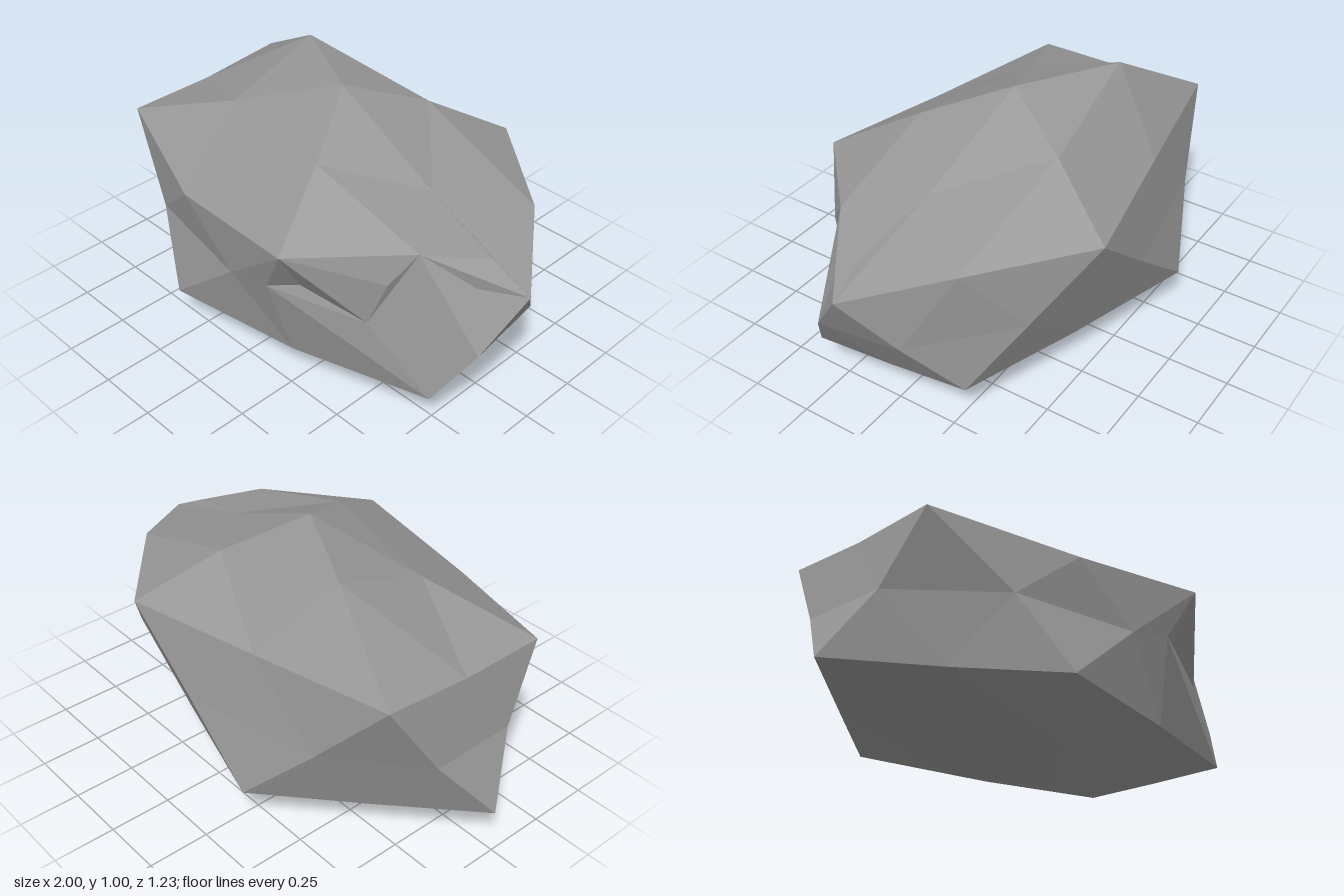
import * as THREE from 'three';

// Cross-sections of the boulder, each running from the front round by +x to the back.
const top = [0, 1, -0.02];
const bottom = [0.13, 0, 0.02];
const crown = [[0.18, 0.87, 0.29], [0.5, 0.78, 0.02], [0.17, 0.88, -0.32], [-0.41, 0.98, -0.24], [-0.41, 0.84, 0.17]];
// shoulder and foot alternate corner, edge middle
const shoulder = [
  [0.33, 0.7, 0.615], [0.68, 0.73, 0.28], [1, 0.6, 0.06], [0.74, 0.69, -0.28], [0.33, 0.7, -0.615],
  [-0.25, 0.71, -0.5], [-0.83, 0.73, -0.39], [-0.83, 0.7, -0.02], [-0.83, 0.7, 0.35], [-0.27, 0.64, 0.55],
];
const waist = [
  [0.56, 0.43, 0.41], [0.92, 0.38, 0.22], [0.88, 0.39, -0.12], [0.56, 0.43, -0.45], [0.01, 0.43, -0.61],
  [-0.57, 0.44, -0.49], [-0.89, 0.43, -0.2], [-0.88, 0.42, 0.17], [-0.52, 0.43, 0.47], [0, 0.43, 0.565],
];
const foot = [
  [0.8, 0.17, 0.33], [0.77, 0.17, 0.02], [0.73, 0.17, -0.29], [0.23, 0.16, -0.45], [-0.31, 0.17, -0.615],
  [-0.65, 0.17, -0.31], [-1, 0.18, 0], [-0.66, 0.165, 0.28], [-0.33, 0.155, 0.575], [0.24, 0.15, 0.48],
];
const belly = [[0.46, 0.08, 0.17], [0.43, 0.08, -0.14], [-0.1, 0.07, -0.3], [-0.45, 0.09, 0], [-0.1, 0.05, 0.28]];

// broken ledge at the front: its nose and the hollow beside it
const nose = [0.2, 0.48, 0.565];
const hollow = [0.31, 0.51, 0.5];
// chips along the +x end
const slot = [0.62, 0.61, 0.37];
const tip = [0.85, 0.61, 0.16];
const crest = [0.84, 0.685, 0.07];

export function createModel() {
  const positions = [];
  const tri = (a, b, c) => positions.push(...a, ...b, ...c);
  // triangles from a centre to each side of a closed ring
  const fan = (centre, ring) => ring.forEach((p, i) => tri(centre, p, ring[(i + 1) % ring.length]));
  // one triangle, or three meeting at a chip
  const corner = (a, b, c, chip) => (chip ? fan(chip, [a, b, c]) : tri(a, b, c));
  // a large facet broken into four by its edge middles
  const facet = (a, ab, b, bc, c, ca, chipA, chipC) => {
    corner(a, ab, ca, chipA);
    tri(ab, b, bc);
    corner(c, ca, bc, chipC);
    tri(ab, bc, ca);
  };

  for (let i = 0; i < 5; i++) {
    const n = (i + 1) % 5, e = 2 * i, m = e + 1, f = 2 * n;
    const chips = i === 0;
    // top cap
    facet(top, crown[i], shoulder[e], shoulder[m], shoulder[f], crown[n], null, chips && crest);
    // side band, facets pointing down
    facet(shoulder[e], waist[e], foot[e], waist[m], shoulder[f], shoulder[m], chips && slot, chips && tip);
    // side band, facets pointing up; the last one carries the broken ledge
    if (i < 4) {
      facet(shoulder[f], waist[m], foot[e], foot[m], foot[f], waist[f]);
    } else {
      tri(waist[m], foot[e], foot[m]);
      fan(nose, [shoulder[f], waist[m], foot[m], foot[f], waist[f], hollow]);
      tri(shoulder[f], hollow, waist[f]);
    }
    // underside
    facet(bottom, belly[n], foot[f], foot[m], foot[e], belly[i]);
  }

  const geometry = new THREE.BufferGeometry();
  geometry.setAttribute('position', new THREE.Float32BufferAttribute(positions, 3));
  geometry.computeVertexNormals();

  const boulder = new THREE.Mesh(geometry, new THREE.MeshStandardMaterial({ color: 0x979797, flatShading: true }));
  boulder.name = 'boulder';
  const group = new THREE.Group();
  group.name = 'rock';
  group.add(boulder);
  return group;
}
